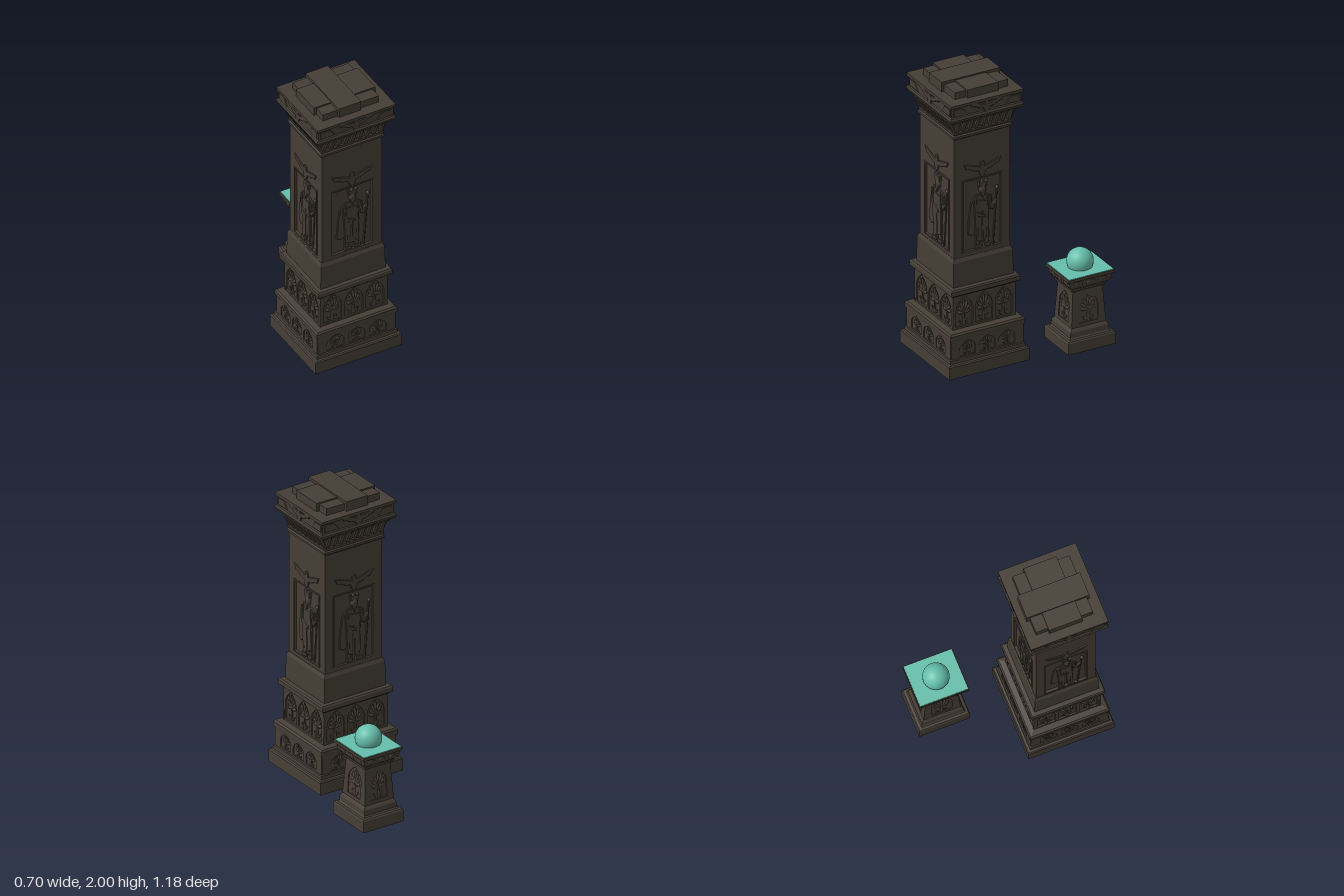
import * as THREE from 'three';
import { mergeGeometries } from 'three/addons/utils/BufferGeometryUtils.js';

const stone = new THREE.MeshStandardMaterial({ color: 0x453e35 });
stone.name = 'dark stone';
const teal = new THREE.MeshStandardMaterial({ color: 0x66bfac });
teal.name = 'teal glow';

function add(parent, name, geo, mat = stone, x = 0, y = 0, z = 0) {
  const m = new THREE.Mesh(geo, mat);
  m.name = name;
  m.position.set(x, y, z);
  parent.add(m);
  return m;
}

// Square tower from a [half width, height] profile, with flat faces
function squareProfile(pts) {
  const g = new THREE.LatheGeometry(
    pts.map(([r, y]) => new THREE.Vector2(r * Math.SQRT2, y)), 4, Math.PI / 4).toNonIndexed();
  g.computeVertexNormals();
  return g;
}

const toShape = pts => new THREE.Shape(pts.map(p => new THREE.Vector2(...p)));
const mirrored = pts => [...pts, ...pts.slice().reverse().filter(p => p[0] !== 0).map(([x, y]) => [-x, y])];

// Low raised carving with chamfered edges
function relief(pts, z, depth, bevel = 0.004) {
  return new THREE.ExtrudeGeometry(toShape(pts), {
    depth, bevelEnabled: bevel > 0, bevelSize: bevel, bevelThickness: bevel, bevelSegments: 1, bevelOffset: -bevel,
  }).translate(0, 0, z);
}

// Flat plate pierced by pointed arches, tapering from half width wb to wt
function archPlate(wb, wt, y0, y1, centers, h, foot, spring, tip, depth) {
  const s = toShape([[-wb, y0], [wb, y0], [wt, y1], [-wt, y1]]);
  for (const c of centers) {
    const p = new THREE.Path();
    p.moveTo(c - h, foot);
    p.lineTo(c + h, foot);
    p.lineTo(c + h, spring);
    p.quadraticCurveTo(c + h, (spring + tip) / 2, c, tip);
    p.quadraticCurveTo(c - h, (spring + tip) / 2, c - h, spring);
    s.holes.push(p);
  }
  return new THREE.ExtrudeGeometry(s, { depth, bevelEnabled: false, curveSegments: 6 });
}

// Fan of leaves on a stem; height is about 1
function palmette() {
  const parts = [];
  for (let i = -3; i <= 3; i++) {
    const len = 0.27 - Math.abs(i) * 0.025;
    parts.push(new THREE.SphereGeometry(1, 8, 6).scale(0.075, len, 0.1)
      .translate(0, len, 0).rotateZ(-i * 0.5).translate(0, 0.46, 0));
  }
  parts.push(new THREE.CylinderGeometry(0.05, 0.09, 0.5, 6).translate(0, 0.25, 0));
  for (const s of [-1, 1]) {
    parts.push(new THREE.TorusGeometry(0.13, 0.045, 5, 10, Math.PI).rotateZ(Math.PI).translate(s * 0.13, 0.2, 0));
  }
  return mergeGeometries(parts);
}

// Robed figure with crown and staff, standing in the panel
function figure(parent) {
  const g = new THREE.Group();
  g.name = 'carvedFigure';
  parent.add(g);
  add(g, 'cloak', relief([[-.11, .95], [-.08, .93], [-.04, .95], [0, .92], [.04, .94], [.055, 1.05], [.06, 1.14],
    [.085, 1.16], [.08, 1.19], [.045, 1.21], [-.05, 1.215], [-.085, 1.17], [-.1, 1.08]], .206, .007));
  add(g, 'robe', relief([[-.05, .9], [-.01, .88], [.055, .9], [.05, 1.06], [.045, 1.17], [-.04, 1.18], [-.06, 1.07]], .208, .011));
  for (const [x, w, z] of [[-.035, .008, .218], [.0, .009, .22], [.032, .008, .218]])
    add(g, 'robeFold', new THREE.CylinderGeometry(w * .6, w, .2, 6), stone, x, 1.0, z);
  add(g, 'head', new THREE.SphereGeometry(1, 12, 8).scale(.027, .037, .02), stone, .005, 1.25, .213);
  add(g, 'beard', relief([[-.02, 1.24], [.005, 1.19], [.03, 1.24]], .212, .012));
  add(g, 'crown', relief([[-.025, 1.27], [.035, 1.27], [.04, 1.315], [.02, 1.305], [.005, 1.318], [-.01, 1.305], [-.03, 1.315]], .208, .014));
  add(g, 'leftArm', relief([[.04, 1.2], [.06, 1.2], [.082, 1.13], [.115, 1.16], [.12, 1.145], [.085, 1.09], [.062, 1.1]], .21, .01));
  add(g, 'rightArm', relief([[-.07, 1.19], [-.045, 1.2], [-.04, 1.1], [.02, 1.07], [.02, 1.05], [-.06, 1.07]], .212, .011));
  for (const x of [-.035, .035]) {
    add(g, 'leg', new THREE.BoxGeometry(.03, .09, .014), stone, x, .89, .213);
    add(g, 'foot', new THREE.BoxGeometry(.048, .022, .02), stone, x + .004, .853, .216);
  }
  const staff = add(g, 'staff', new THREE.CylinderGeometry(.006, .006, .4, 6), stone, .103, 1.035, .216);
  staff.rotation.z = -.08;
  add(g, 'staffHead', new THREE.SphereGeometry(.013, 8, 6), stone, .119, 1.24, .216);
}

// Winged emblem centred at height y; s is its scale
function wings(parent, name, y, z, s) {
  const half = [[0, -.06], [.018, -.045], [.03, -.01], [.065, -.005], [.1, .015], [.13, .02], [.15, .06],
    [.12, .052], [.08, .04], [.04, .028], [.02, .02], [.014, .05], [0, .058]];
  const m = add(parent, name, relief(mirrored(half), 0, .008, .003), stone, 0, y, z);
  m.scale.set(s, s, 1);
}

function makeTower() {
  const tower = new THREE.Group();
  tower.name = 'tower';
  add(tower, 'towerBody', squareProfile([
    [0, 0], [.317, 0], [.317, .085], [.31, .093], [.296, .096], [.294, .12], [.282, .125], [.278, .25],
    [.292, .255], [.295, .262], [.295, .29], [.285, .302], [.25, .31], [.236, .315], [.233, .55],
    [.262, .553], [.272, .562], [.272, .592], [.265, .602], [.238, .605], [.234, .775], [.222, .80],
    [.208, .80], [.208, 1.65], [.222, 1.652], [.232, 1.66], [.232, 1.675], [.222, 1.682], [.228, 1.69],
    [.228, 1.702], [.22, 1.71], [.228, 1.74], [.245, 1.775], [.262, 1.79], [.264, 1.80],
    [.281, 1.806], [.289, 1.825], [.283, 1.84], [.275, 1.845], [.275, 1.905], [.287, 1.912], [.287, 1.932], [0, 1.934]]));

  const centers = [-.155, 0, .155];
  const lowPlate = archPlate(.285, .283, .125, .253, [-.155, 0, .155], .062, .137, .19, .242, .012);
  const midPlate = archPlate(.249, .245, .305, .552, centers, .066, .325, .44, .535, .012);
  const leaf = palmette();

  // Shaft facing with a rectangular opening for the panel
  const facing = toShape([[-.22, .795], [.22, .795], [.22, 1.652], [-.22, 1.652]]);
  facing.holes.push(new THREE.Path([[-.148, .835], [.148, .835], [.148, 1.335], [-.148, 1.335]].map(p => new THREE.Vector2(...p))));
  const facingGeo = new THREE.ExtrudeGeometry(facing, { depth: .013, bevelEnabled: false });

  for (let i = 0; i < 4; i++) {
    const side = new THREE.Group();
    side.name = 'towerSide';
    side.rotation.y = i * Math.PI / 2;
    tower.add(side);
    add(side, 'lowerArches', lowPlate, stone, 0, 0, .276);
    add(side, 'middleArches', midPlate, stone, 0, 0, .235);
    for (const x of centers) {
      add(side, 'lowerPalmette', leaf, stone, x, .137, .281).scale.set(.095, .1, .09);
      add(side, 'middlePalmette', leaf, stone, x, .33, .238).scale.set(.125, .19, .1);
    }
    add(side, 'shaftFacing', facingGeo, stone, 0, 0, .207);
    // Panel border
    for (const s of [-1, 1]) {
      add(side, 'panelEdge', new THREE.BoxGeometry(.01, .52, .01), stone, s * .153, 1.085, .22);
      add(side, 'panelEdge', new THREE.BoxGeometry(.316, .01, .01), stone, 0, 1.085 + s * .255, .22);
    }
    figure(side);
    wings(side, 'shaftWings', 1.4, .217, 1);
    wings(side, 'corniceWings', 1.875, .274, .9);
    // Brackets under the cornice
    for (let k = -4; k <= 4; k++) {
      const b = add(side, 'bracket', new THREE.BoxGeometry(.026, .085, .02), stone, k * .052, 1.75, .238);
      b.rotation.x = .42;
    }
    // Sunken-looking end panels beside the cornice emblem
    for (const s of [-1, 1]) {
      add(side, 'cornicePanel', relief([[s * .15, 1.85], [s * .26, 1.85], [s * .26, 1.9], [s * .19, 1.9]], .272, .006, .002));
    }
  }

  // Stepped blocks on the top
  add(tower, 'capCentre', new THREE.BoxGeometry(.165, .075, .462), stone, -.016, 1.9625, -.006);
  add(tower, 'capCross', new THREE.BoxGeometry(.452, .068, .245), stone, 0, 1.957, -.003);
  add(tower, 'capCorners', new THREE.BoxGeometry(.41, .058, .42), stone, 0, 1.952, -.004);

  tower.scale.z = .93;
  tower.position.set(-.037, 0, .295);
  return tower;
}

function makePedestal() {
  const ped = new THREE.Group();
  ped.name = 'pedestal';
  add(ped, 'pedestalBody', squareProfile([
    [0, 0], [.174, 0], [.174, .078], [.168, .087], [.15, .09], [.142, .1], [.14, .135], [.13, .15], [.12, .16],
    [.102, .41], [.112, .415], [.125, .42], [.125, .433], [.118, .438], [.132, .442], [.15, .465],
    [.156, .495], [.16, .505], [.17, .508], [.17, .528], [0, .528]]));
  const plate = archPlate(.126, .109, 0, .252, [0], .07, .025, .14, .228, .009);
  const leaf = palmette();
  for (let i = 0; i < 4; i++) {
    const side = new THREE.Group();
    side.name = 'pedestalSide';
    side.rotation.y = i * Math.PI / 2;
    ped.add(side);
    // Carved panel leaning with the tapered body
    const panel = new THREE.Group();
    panel.name = 'pedestalPanel';
    panel.position.set(0, .158, .118);
    panel.rotation.x = -.072;
    side.add(panel);
    add(panel, 'pedestalArch', plate);
    add(panel, 'pedestalPalmette', leaf, stone, 0, .03, .003).scale.set(.135, .18, .09);
    for (const x of [-.09, 0, .09]) {
      const b = add(side, 'bowlLeaf', new THREE.SphereGeometry(1, 8, 6).scale(.035, .03, .01), stone, x, .472, .147);
      b.rotation.x = .5;
    }
  }
  add(ped, 'tealTop', new THREE.BoxGeometry(.328, .006, .328), teal, 0, .529, 0);
  ped.scale.x = .885;
  ped.position.set(.197, 0, -.418);
  return ped;
}

export function createModel() {
  const model = new THREE.Group();
  model.name = 'monument';
  model.add(makeTower(), makePedestal());
  add(model, 'orb', new THREE.SphereGeometry(.088, 32, 20), teal, .195, .569, -.418);
  return model;
}
